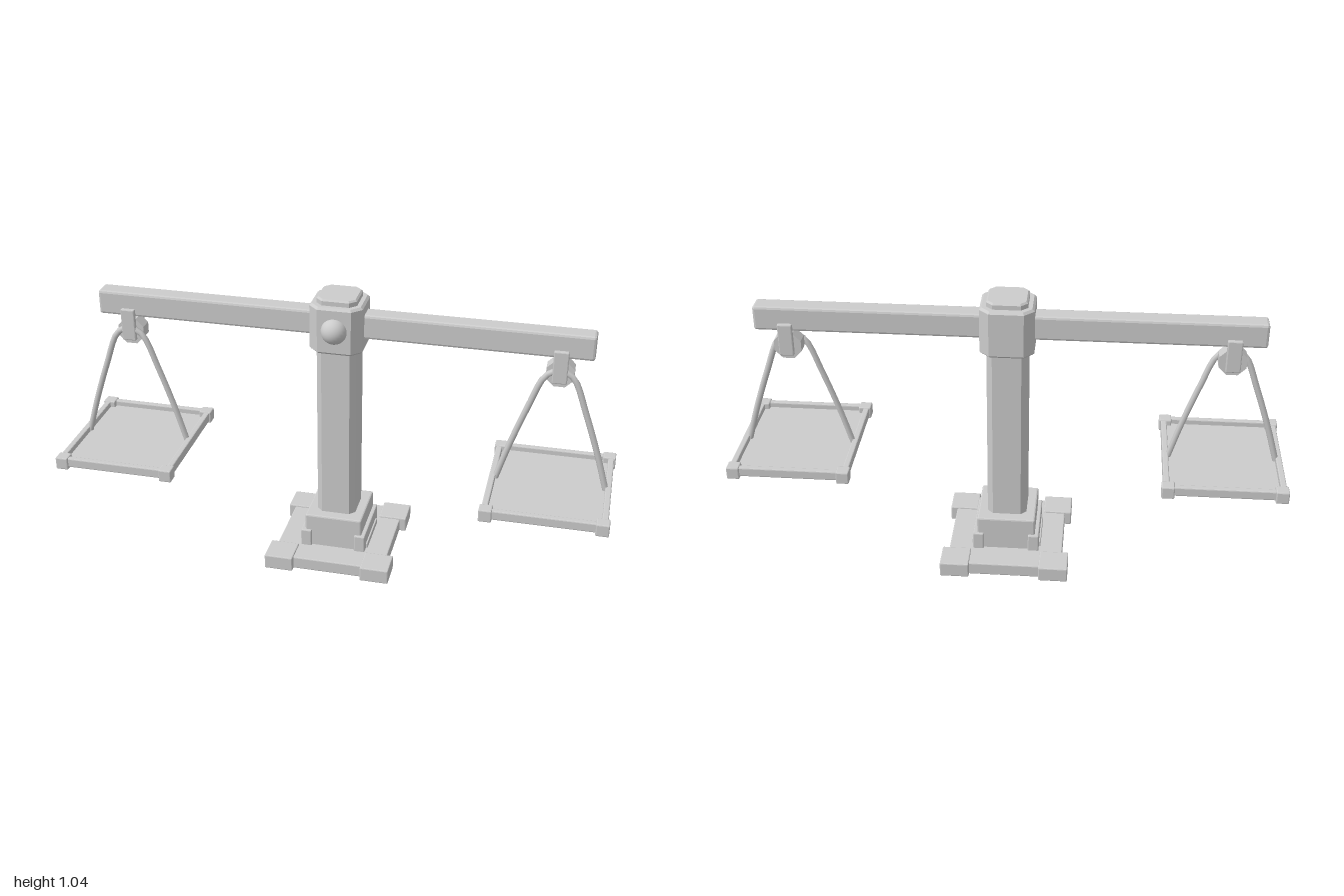
import * as THREE from 'three';
import { RoundedBoxGeometry } from 'three/addons/geometries/RoundedBoxGeometry.js';

const flat = new THREE.MeshStandardMaterial({ color: 0xcccccc, flatShading: true });
const smooth = new THREE.MeshStandardMaterial({ color: 0xcccccc });
const CZ = -0.035; // depth of the post axis and beam

function add(parent, name, geometry, x = 0, y = 0, z = 0, material = flat) {
  const mesh = new THREE.Mesh(geometry, material);
  mesh.name = name;
  mesh.position.set(x, y, z);
  parent.add(mesh);
  return mesh;
}

// Box with small chamfers, given by its limits on each axis
function block(parent, name, [x0, x1], [y0, y1], [z0, z1], r = 0.004) {
  return add(parent, name, new RoundedBoxGeometry(x1 - x0, y1 - y0, z1 - z0, 1, r),
    (x0 + x1) / 2, (y0 + y1) / 2, (z0 + z1) / 2);
}

// Upright square prism with cut corners and a bevel at both ends
function prism(parent, name, half, cut, y0, y1, bevel) {
  const a = half - bevel, b = a - cut;
  const shape = new THREE.Shape([[a, -b], [a, b], [b, a], [-b, a], [-a, b], [-a, -b], [-b, -a], [b, -a]]
    .map(([x, y]) => new THREE.Vector2(x, y)));
  const geo = new THREE.ExtrudeGeometry(shape, {
    depth: y1 - y0 - 2 * bevel, bevelEnabled: true, bevelThickness: bevel, bevelSize: bevel, bevelSegments: 1,
  });
  geo.rotateX(-Math.PI / 2);
  return add(parent, name, geo, 0, y0 + bevel, CZ);
}

function createBase() {
  const base = new THREE.Group();
  base.name = 'base';
  block(base, 'baseSlab', [-0.21, 0.21], [0.002, 0.05], [-0.252, 0.178]);
  for (const x of [-0.181, 0.181]) {
    for (const z of [-0.217, 0.145]) {
      block(base, 'foot', [x - 0.053, x + 0.053], [0, 0.056], [z - 0.053, z + 0.053]);
    }
  }
  block(base, 'plinth', [-0.107, 0.107], [0.04, 0.178], [-0.146, 0.076], 0.006);
  // Side braces wrapping the plinth corners
  for (const s of [-1, 1]) {
    block(base, 'plinthBrace', [s * 0.102 - 0.02, s * 0.102 + 0.02], [0.045, 0.115], [-0.156, 0.086]);
    block(base, 'braceSill', [s * 0.115 - 0.013, s * 0.115 + 0.013], [0.045, 0.07], [-0.125, 0.055], 0.002);
  }
  return base;
}

function createPan() {
  const pan = new THREE.Group();
  pan.name = 'hangingPan';

  // Bracket cheeks clasping the beam, with the hanging wheel between them
  for (const z of [0.006, -0.076]) {
    block(pan, 'bracketCheek', [-0.026, 0.026], [0.795, 0.915], [z - 0.009, z + 0.009]);
  }
  const wheel = new THREE.CylinderGeometry(0.052, 0.052, 0.05, 8);
  wheel.rotateY(Math.PI / 8);
  wheel.rotateX(Math.PI / 2);
  add(pan, 'hangerWheel', wheel, 0, 0.822, CZ);

  // Slightly bowed rods
  for (const s of [-1, 1]) {
    const path = new THREE.CatmullRomCurve3([
      [0.015, 0.84], [0.05, 0.815], [0.1, 0.69], [0.155, 0.53], [0.195, 0.395],
    ].map(([x, y]) => new THREE.Vector3(s * x, y, 0.003)));
    add(pan, 'hangerRod', new THREE.TubeGeometry(path, 16, 0.011, 8), 0, 0, 0, smooth);
  }

  // Tray with rails and corner blocks
  const tray = new THREE.Group();
  tray.name = 'tray';
  tray.position.z = 0.014;
  pan.add(tray);
  add(tray, 'trayFloor', new THREE.BoxGeometry(0.41, 0.012, 0.47), 0, 0.384, 0);
  for (const s of [-1, 1]) {
    block(tray, 'sideRail', [s * 0.205 - 0.011, s * 0.205 + 0.011], [0.375, 0.41], [-0.24, 0.24]);
    block(tray, 'endRail', [-0.21, 0.21], [0.375, 0.41], [s * 0.235 - 0.011, s * 0.235 + 0.011]);
    for (const t of [-1, 1]) {
      block(tray, 'trayCorner', [s * 0.199 - 0.023, s * 0.199 + 0.023], [0.367, 0.413],
        [t * 0.231 - 0.023, t * 0.231 + 0.023]);
    }
  }
  return pan;
}

export function createModel() {
  const model = new THREE.Group();
  model.name = 'balanceScale';
  model.add(createBase());

  // Column, head and cap
  prism(model, 'post', 0.072, 0.02, 0.17, 0.85, 0.001);
  prism(model, 'head', 0.095, 0.03, 0.84, 1.015, 0.008);
  prism(model, 'cap', 0.072, 0.02, 1.005, 1.037, 0.006);
  add(model, 'pivotKnob', new THREE.SphereGeometry(0.047, 24, 16), 0, 0.93, 0.053, smooth);

  // Beam carrying the two pans
  block(model, 'beam', [-0.89, 0.89], [0.885, 0.975], [CZ - 0.036, CZ + 0.036], 0.009);
  for (const s of [-1, 1]) {
    const pan = createPan();
    pan.position.x = s * 0.778;
    model.add(pan);
  }
  return model;
}
